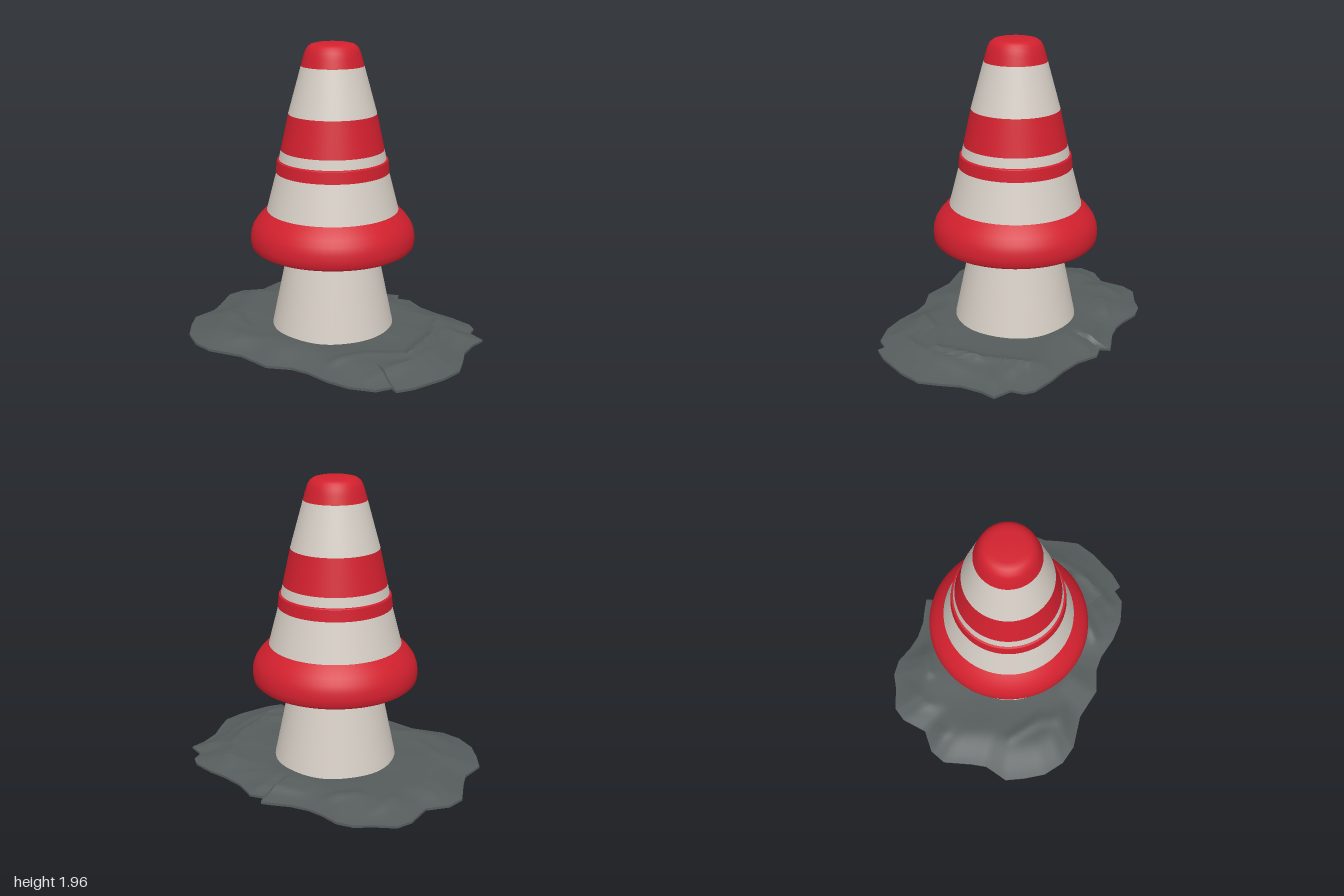
import * as THREE from 'three';
import { toCreasedNormals } from 'three/addons/utils/BufferGeometryUtils.js';

const material = (name, color) => {
  const m = new THREE.MeshStandardMaterial({ color });
  m.name = name;
  return m;
};

// Irregular outline of the ground slab as x, z pairs, from the back round by the left side
const OUTLINE = [
  -0.02, -1, 0.1, -0.98, 0.22, -0.88, 0.4, -0.89, 0.5, -0.85, 0.58, -0.72, 0.65, -0.64, 0.68, -0.53,
  0.66, -0.4, 0.66, -0.3, 0.69, -0.18, 0.73, -0.1, 0.77, -0.01, 0.71, 0.02, 0.74, 0.11, 0.68, 0.25,
  0.66, 0.4, 0.66, 0.53, 0.64, 0.68, 0.6, 0.74, 0.52, 0.76, 0.48, 0.88, 0.38, 0.87, 0.24, 0.89,
  0.12, 0.95, 0, 1, -0.15, 0.98, -0.36, 0.91, -0.46, 0.85, -0.44, 0.8, -0.53, 0.75, -0.6, 0.6,
  -0.62, 0.45, -0.61, 0.28, -0.63, 0.17, -0.71, 0.03, -0.7, -0.2, -0.77, -0.42, -0.76, -0.56,
  -0.69, -0.7, -0.58, -0.8, -0.47, -0.88, -0.3, -0.87, -0.2, -0.91,
];

// Folds in the slab: x1, z1, x2, z2, height
const FOLDS = [
  [-0.5, 0.38, -0.28, 0.5, 0.018], [-0.28, 0.5, -0.14, 0.66, 0.018],
  [-0.1, 0.7, 0.2, 0.66, 0.03], [0.2, 0.66, 0.5, 0.52, 0.02], [0.42, 0.56, 0.44, 0.65, 0.015],
  [-0.5, 0.66, -0.2, 0.76, 0.02], [-0.2, 0.76, 0.4, 0.78, 0.015],
  [0.5, 0.5, 0.64, 0.45, 0.018], [0.57, -0.17, 0.66, 0.1, 0.02], [0.56, 0.2, 0.62, 0.35, 0.015],
  [-0.35, -0.6, -0.45, -0.4, 0.015], [-0.45, -0.4, -0.6, -0.28, 0.012],
  [0.08, -0.83, 0.34, -0.83, 0.012], [0.3, -0.72, 0.52, -0.66, 0.012], [0.42, -0.5, 0.55, -0.36, 0.015],
];

function foldHeight(x, z) {
  let h = 0;
  for (const [x1, z1, x2, z2, rise] of FOLDS) {
    const dx = x2 - x1, dz = z2 - z1;
    const t = THREE.MathUtils.clamp(((x - x1) * dx + (z - z1) * dz) / (dx * dx + dz * dz), 0, 1);
    const d = Math.hypot(x - x1 - t * dx, z - z1 - t * dz);
    h = Math.max(h, rise * Math.exp(-((d / 0.035) ** 2)));
  }
  return h;
}

// Slab made of rings shrinking from the outline, with a side wall and a flat underside
function slabGeometry() {
  const rim = [], sub = 4, count = OUTLINE.length / 2;
  for (let i = 0; i < count; i++) {
    const j = (i + 1) % count;
    for (let k = 0; k < sub; k++) {
      const t = k / sub;
      rim.push([
        THREE.MathUtils.lerp(OUTLINE[2 * i], OUTLINE[2 * j], t),
        THREE.MathUtils.lerp(OUTLINE[2 * i + 1], OUTLINE[2 * j + 1], t),
      ]);
    }
  }
  const n = rim.length, rings = 26, pos = [0, 0, 0], index = [];
  for (const [x, z] of rim) pos.push(x, 0, z);
  for (let r = 0; r <= rings; r++) {
    const s = 1 - 0.75 * r / rings;
    for (const [rx, rz] of rim) {
      const x = rx * s, z = rz * s;
      const inset = (1 - s) * Math.hypot(rx, rz);
      const rise = THREE.MathUtils.smoothstep(inset, -0.05, 0.26);
      const wave = 0.006 * Math.sin(9 * x + 4 * z) * Math.sin(8 * z - 3 * x);
      pos.push(x, 0.012 + 0.06 * rise + (wave + foldHeight(x, z)) * rise, z);
    }
  }
  const top = pos.length / 3;
  pos.push(0, 0.075, 0);
  for (let i = 0; i < n; i++) {
    const j = (i + 1) % n;
    index.push(0, 1 + i, 1 + j);
    for (let r = 0; r <= rings; r++) {
      const a = 1 + r * n, b = a + n;
      index.push(a + i, b + i, a + j, a + j, b + i, b + j);
    }
    const last = 1 + (rings + 1) * n;
    index.push(last + j, last + i, top);
  }
  const g = new THREE.BufferGeometry();
  g.setAttribute('position', new THREE.Float32BufferAttribute(pos, 3));
  g.setIndex(index);
  return toCreasedNormals(g, 0.6);
}

export function createModel() {
  const red = material('red', 0xd2202e);
  const white = material('offWhite', 0xd6cec5);
  const grey = material('darkGrey', 0x565c5c);
  const model = new THREE.Group();
  model.name = 'roadCone';

  const slab = new THREE.Mesh(slabGeometry(), grey);
  slab.name = 'groundSlab';
  model.add(slab);

  const cone = new THREE.Group();
  cone.name = 'cone';
  cone.position.set(0.015, 0, -0.027);
  model.add(cone);

  // Each ring of the cone: name, colour and profile of radius, height from bottom to top
  const sections = [
    ['lowerPost', white, [[0.415, 0.02], [0.405, 0.08], [0.291, 0.63]]],
    ['collarUnderside', red, [[0.27, 0.615], [0.525, 0.615]]],
    ['collar', red, [[0.525, 0.615], [0.54, 0.63], [0.545, 0.67], [0.541, 0.72], [0.525, 0.765],
      [0.498, 0.805], [0.465, 0.842], [0.435, 0.87]]],
    ['lowerWhiteBand', white, [[0.435, 0.868], [0.367, 1.128]]],
    ['narrowBandUnderside', red, [[0.36, 1.125], [0.373, 1.125]]],
    ['narrowRedBand', red, [[0.373, 1.125], [0.364, 1.2]]],
    ['narrowBandLedge', red, [[0.364, 1.2], [0.36, 1.207], [0.342, 1.208]]],
    ['narrowWhiteBand', white, [[0.351, 1.205], [0.338, 1.27]]],
    ['wideRedBand', red, [[0.338, 1.27], [0.287, 1.505]]],
    ['upperWhiteBand', white, [[0.287, 1.505], [0.203, 1.81]]],
    ['cap', red, [[0.203, 1.81], [0.188, 1.865], [0.175, 1.905], [0.16, 1.93], [0.137, 1.947],
      [0.1, 1.955], [0, 1.956]]],
  ];
  for (const [name, mat, profile] of sections) {
    const points = profile.map(([r, y]) => new THREE.Vector2(r, y));
    const mesh = new THREE.Mesh(new THREE.LatheGeometry(points, 64), mat);
    mesh.name = name;
    cone.add(mesh);
  }
  return model;
}
